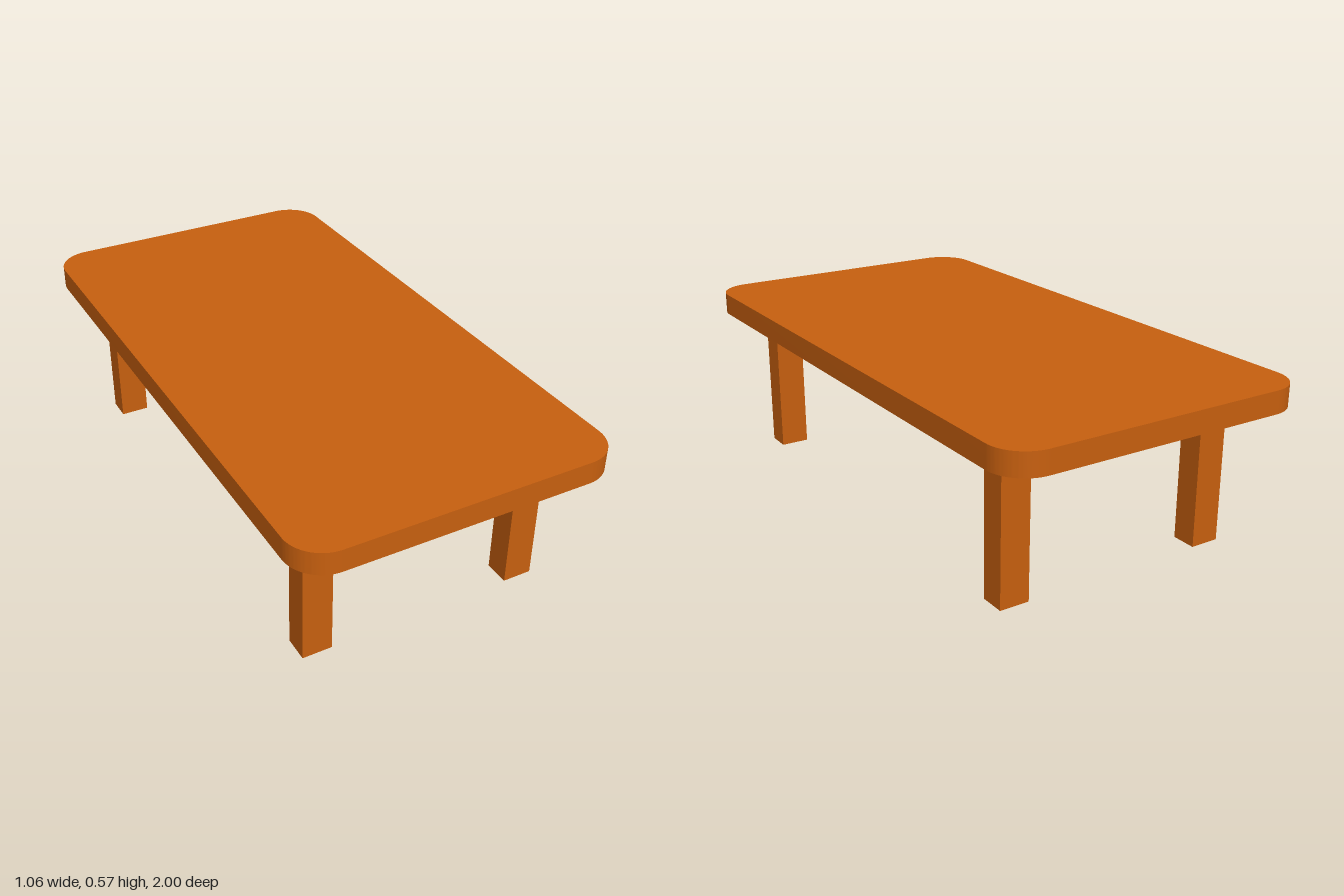
import * as THREE from 'three';
import { toCreasedNormals } from 'three/addons/utils/BufferGeometryUtils.js';

export function createModel() {
  const table = new THREE.Group();
  table.name = 'table';
  const wood = new THREE.MeshStandardMaterial({ color: 0xc8600f });

  const TOP = 0.572, UNDERSIDE = 0.497, FRAME_BOTTOM = 0.438;
  const FRAME_X = 0.418, FRAME_Z = 0.79; // half sizes of the frame
  const LEG_X = 0.1, LEG_Z = 0.085;

  function add(name, geometry, x, y, z) {
    const mesh = new THREE.Mesh(geometry, wood);
    mesh.name = name;
    mesh.position.set(x, y, z);
    table.add(mesh);
    return mesh;
  }

  // Tabletop: rounded rectangle, extruded and laid flat
  const w = 0.53, d = 1, r = 0.12;
  const outline = new THREE.Shape();
  outline.absarc(w - r, d - r, r, 0, Math.PI / 2);
  outline.absarc(r - w, d - r, r, Math.PI / 2, Math.PI);
  outline.absarc(r - w, r - d, r, Math.PI, Math.PI * 1.5);
  outline.absarc(w - r, r - d, r, Math.PI * 1.5, Math.PI * 2);
  outline.closePath();
  const slab = new THREE.ExtrudeGeometry(outline, {
    depth: TOP - UNDERSIDE, bevelEnabled: false, curveSegments: 16,
  });
  slab.rotateX(-Math.PI / 2);
  add('tabletop', toCreasedNormals(slab, 0.6), 0, UNDERSIDE, 0);

  // Solid frame under the top
  const frameHeight = UNDERSIDE - FRAME_BOTTOM;
  add('frame', new THREE.BoxGeometry(FRAME_X * 2, frameHeight, FRAME_Z * 2),
    0, FRAME_BOTTOM + frameHeight / 2, 0);

  // Four legs, flush with the corners of the frame
  const leg = new THREE.BoxGeometry(LEG_X, FRAME_BOTTOM, LEG_Z);
  for (const [side, sx] of [['Left', 1], ['Right', -1]]) {
    for (const [end, sz] of [['front', 1], ['back', -1]]) {
      add(`${end}${side}Leg`, leg,
        sx * (FRAME_X - LEG_X / 2), FRAME_BOTTOM / 2, sz * (FRAME_Z - LEG_Z / 2));
    }
  }
  return table;
}
